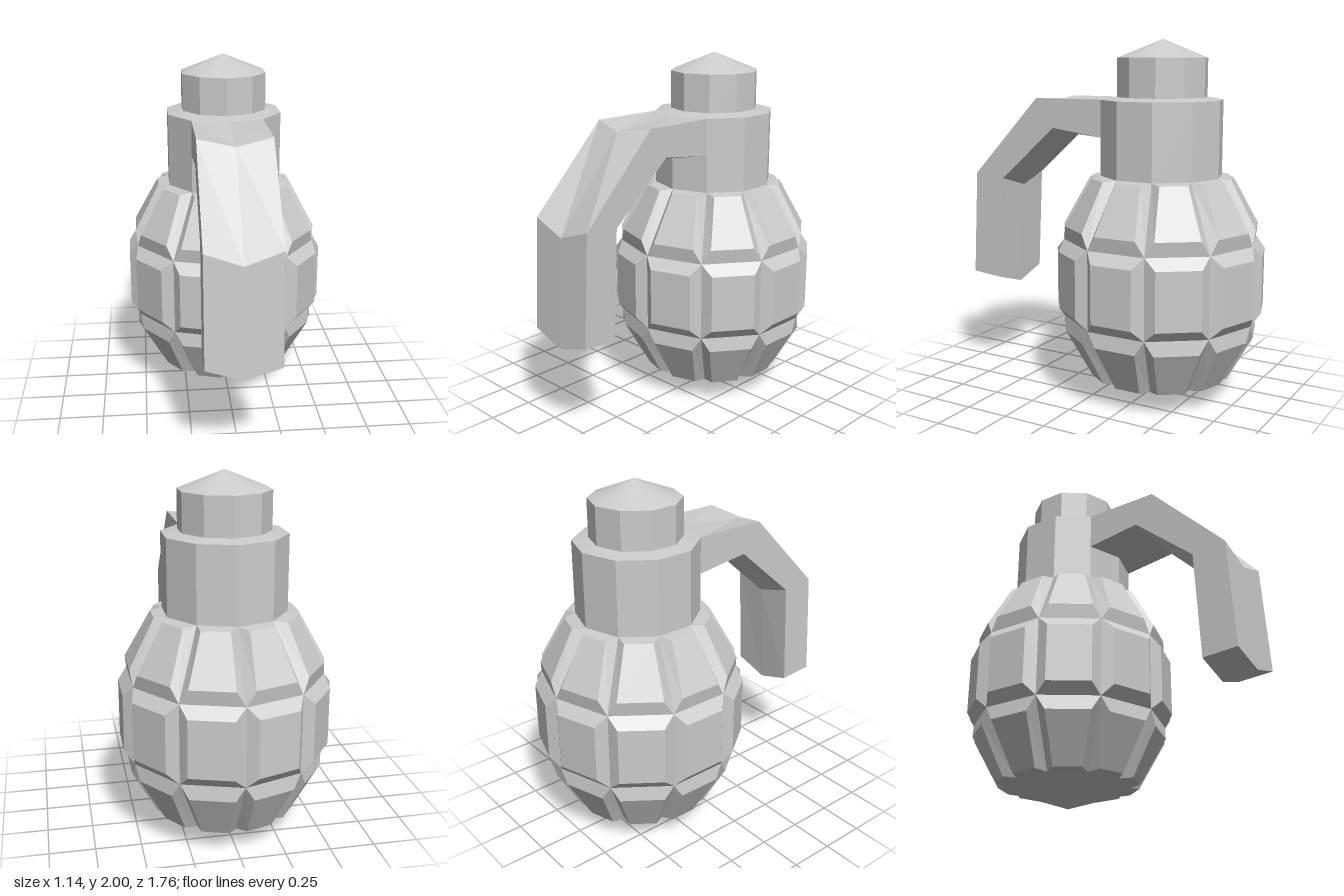
import * as THREE from 'three';

const SIDES = 10;
const AXIS_Z = -0.3;
const flat = new THREE.MeshStandardMaterial({ color: 0xcccccc, flatShading: true });
const smooth = new THREE.MeshStandardMaterial({ color: 0xcccccc });

// Geometry from a list of four-cornered faces, corners counter-clockwise from outside
function fromQuads(quads) {
  const pos = [];
  for (const [a, b, c, d] of quads) pos.push(...a, ...b, ...c, ...a, ...c, ...d);
  const g = new THREE.BufferGeometry();
  g.setAttribute('position', new THREE.Float32BufferAttribute(pos, 3));
  g.computeVertexNormals();
  return g;
}

// One raised panel per side: base edges at [y, radius], face edges at [y, distance, half width]
function panelBand(base, face) {
  const quads = [];
  for (let k = 0; k < SIDES; k++) {
    const ang = ((k + 0.5) * 2 * Math.PI) / SIDES;
    const s = Math.sin(ang), c = Math.cos(ang);
    const at = (y, a, t) => [a * s + t * c, y, a * c - t * s];
    const loop = ([lo, hi]) => [
      at(lo[0], lo[1], -lo[2]), at(lo[0], lo[1], lo[2]),
      at(hi[0], hi[1], hi[2]), at(hi[0], hi[1], -hi[2]),
    ];
    const h = Math.PI / SIDES;
    const outer = loop(base.map(([y, r]) => [y, r * Math.cos(h), r * Math.sin(h)]));
    const inner = loop(face);
    quads.push(inner);
    for (let i = 0; i < 4; i++) {
      const j = (i + 1) % 4;
      quads.push([outer[i], outer[j], inner[j], inner[i]]);
    }
  }
  return fromQuads(quads);
}

// Lever lofted through stations of [z, y] points: outer side, outer ridge, inner side, inner ridge
function leverGeometry() {
  const w = 0.2;
  const stations = [
    [[-0.025, 1.675], [0.04, 1.675], [-0.025, 1.47], [0.04, 1.47]],
    [[0.4, 1.675], [0.45, 1.64], [0.29, 1.51], [0.325, 1.47]],
    [[0.84, 1.22], [0.845, 1.15], [0.645, 1.2], [0.64, 1.14]],
    [[0.875, 0.61], [0.88, 0.55], [0.675, 0.595], [0.68, 0.53]],
  ];
  const rings = stations.map(([os, oc, is, ic]) => [
    [-w, os[1], os[0]], [0, oc[1], oc[0]], [w, os[1], os[0]],
    [w, is[1], is[0]], [0, ic[1], ic[0]], [-w, is[1], is[0]],
  ]);
  const quads = [];
  for (let n = 0; n < rings.length - 1; n++) {
    const a = rings[n], b = rings[n + 1];
    for (let i = 0; i < 6; i++) {
      const j = (i + 1) % 6;
      quads.push([a[i], b[i], b[j], a[j]]);
    }
  }
  // Free end
  const e = rings[rings.length - 1];
  quads.push([e[0], e[5], e[4], e[1]], [e[1], e[4], e[3], e[2]]);
  return fromQuads(quads);
}

export function createModel() {
  const model = new THREE.Group();
  model.name = 'grenade';

  const add = (name, geometry, material = flat, y = 0, z = AXIS_Z) => {
    const mesh = new THREE.Mesh(geometry, material);
    mesh.name = name;
    mesh.position.set(0, y, z);
    model.add(mesh);
    return mesh;
  };
  const drum = (rTop, rBottom, y0, y1) =>
    new THREE.CylinderGeometry(rTop, rBottom, y1 - y0, SIDES, 1, true).translate(0, (y0 + y1) / 2, 0);

  // Segmented body
  const rings = [[0.12, 0.34], [0.47, 0.545], [0.91, 0.545], [1.26, 0.34]];
  const bands = [
    ['lowerPanels', [[0.128, 0.39, 0.075], [0.39, 0.53, 0.12]]],
    ['middlePanels', [[0.53, 0.57, 0.12], [0.85, 0.57, 0.12]]],
    ['upperPanels', [[0.99, 0.53, 0.12], [1.252, 0.39, 0.075]]],
  ];
  bands.forEach(([name, face], i) => add(name, panelBand([rings[i], rings[i + 1]], face)));
  add('bodyBottom', drum(0.34, 0, 0, 0.12), smooth);

  // Neck and cap
  add('neck', drum(0.34, 0.34, 1.26, 1.675));
  add('neckShoulder', drum(0.25, 0.34, 1.675, 1.69), smooth);
  add('cap', drum(0.25, 0.25, 1.69, 1.9));
  add('capTop', drum(0, 0.25, 1.9, 2), smooth);

  // Safety lever
  add('lever', leverGeometry(), flat, 0, 0);

  return model;
}
